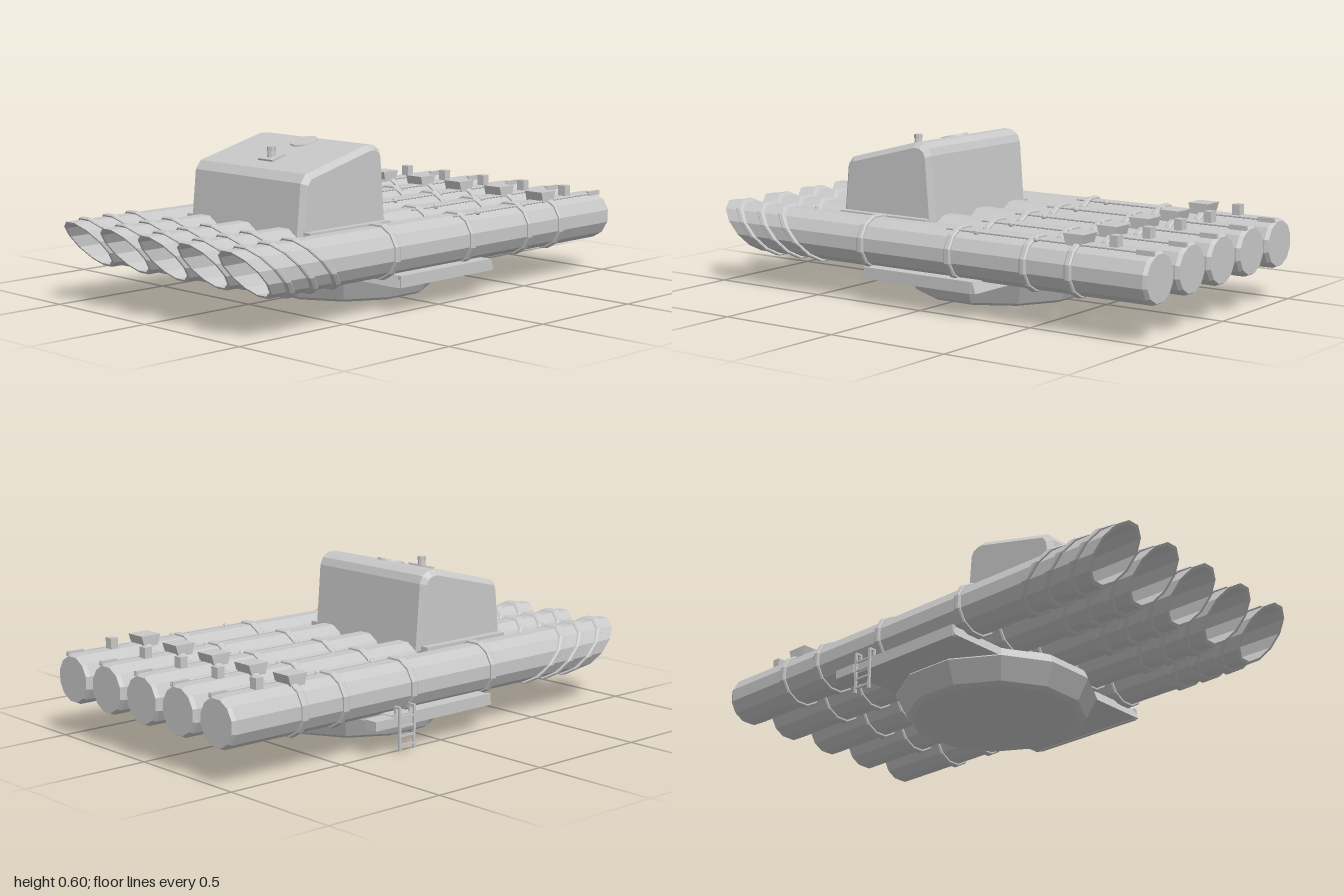
import * as THREE from 'three';

const CX = 0.008;      // centre line of tubes and cabin
const TUBE_Y = 0.226;  // height of the tube axes
const R = 0.0958;      // tube radius
const TOP = 0.0925;    // height of the flat tube top above the axis
const SLANT = 0.92;    // muzzle cut, z per unit of y

const deg = (d) => (d * Math.PI) / 180;

// Faceted shading for any geometry
function flat(geometry) {
  const g = geometry.index ? geometry.toNonIndexed() : geometry;
  g.computeVertexNormals();
  return g;
}

// Twelve-sided solid of revolution along z; points are [radius, z]
function turned(points, slantFrom = Infinity) {
  const g = new THREE.LatheGeometry(points.map(([r, z]) => new THREE.Vector2(r, z)), 12, deg(15));
  g.rotateX(Math.PI / 2);
  const p = g.attributes.position;
  for (let i = 0; i < p.count; i++) {
    if (p.getZ(i) > slantFrom) p.setZ(i, p.getZ(i) + SLANT * (p.getY(i) - TOP));
  }
  return flat(g);
}

// Ring around a tube, centred on z
function ring(z, width, slanted) {
  const h = width / 2;
  return turned(
    [[0.09, z - h], [0.102, z - h], [0.1062, z - h * 0.6], [0.1062, z + h * 0.6], [0.102, z + h], [0.09, z + h]],
    slanted ? -Infinity : Infinity,
  );
}

// Side profile of [z, y] points, extruded along x and centred
function sideProfile(points, width, bevel = 0) {
  const shape = new THREE.Shape(points.map(([z, y]) => new THREE.Vector2(-z, y)));
  const g = new THREE.ExtrudeGeometry(shape, {
    depth: width - 2 * bevel,
    bevelEnabled: bevel > 0,
    bevelThickness: bevel,
    bevelSize: bevel,
    bevelOffset: -bevel,
    bevelSegments: 1,
  });
  g.translate(0, 0, bevel - width / 2);
  g.rotateY(Math.PI / 2);
  return flat(g);
}

export function createModel() {
  const model = new THREE.Group();
  model.name = 'launcherTurret';
  const grey = new THREE.MeshStandardMaterial({ color: 0xc8c8c8 });
  grey.name = 'lightGrey';

  const add = (parent, name, geometry, x = 0, y = 0, z = 0) => {
    const mesh = new THREE.Mesh(geometry, grey);
    mesh.name = name;
    mesh.position.set(x, y, z);
    parent.add(mesh);
    return mesh;
  };
  const box = (w, h, d) => new THREE.BoxGeometry(w, h, d);

  // Launch tubes: hollow, closed at the back, cut at a slant in front
  const tube = turned(
    [[0, -1], [0.088, -1], [R, -0.985], [R, 1], [0.086, 1], [0.086, -0.97], [0, -0.97]], 0.9);
  const slantedRings = [0.917, 0.805, 0.695].map((z) => ring(z, 0.032, true));
  const straightRings = [0.258, -0.155, -0.49, -0.682].map((z) => ring(z, 0.028, false));
  const rod = flat(new THREE.CylinderGeometry(0.004, 0.004, 0.89, 6).rotateX(Math.PI / 2));
  const joint = flat(new THREE.SphereGeometry(0.011, 8, 6));
  const housing = sideProfile(
    [[-0.637, 0.085], [-0.625, 0.127], [-0.713, 0.127], [-0.7, 0.085]], 0.084);

  for (let i = -2; i <= 2; i++) {
    const unit = new THREE.Group();
    unit.name = 'launchTube';
    unit.position.set(CX + i * 0.215, TUBE_Y, 0);
    model.add(unit);
    add(unit, 'barrel', tube);
    slantedRings.forEach((g) => add(unit, 'slantedBand', g));
    straightRings.forEach((g) => add(unit, 'band', g));
    // Fittings along the top of the tube
    add(unit, 'cableRod', rod, 0.038, 0.091, -0.555);
    for (const z of [-0.245, -0.51]) add(unit, 'rodJoint', joint, 0.038, 0.091, z);
    add(unit, 'rodEnd', box(0.014, 0.018, 0.07), 0.036, 0.091, -0.962);
    add(unit, 'housing', housing);
    add(unit, 'lug', box(0.035, 0.05, 0.032), 0, 0.109, -0.82);
  }

  // Cabin with a sloping roof and chamfered sides
  add(model, 'cabin', sideProfile(
    [[0.534, 0.28], [0.513, 0.485], [0.488, 0.517], [0.175, 0.596],
      [0.142, 0.594], [0.113, 0.577], [0.1, 0.548], [0.079, 0.28]], 0.612, 0.02), CX);
  add(model, 'cabinFlange', box(0.674, 0.03, 0.42), CX, 0.295, 0.305);

  // Roof hatch and sight
  const roof = new THREE.Group();
  roof.name = 'roofFittings';
  roof.position.set(CX, 0.555, 0.33);
  roof.rotation.x = Math.atan2(0.076, 0.3);
  model.add(roof);
  add(roof, 'hatch', flat(new THREE.CylinderGeometry(0.052, 0.058, 0.02, 16)), -0.004, -0.002, -0.12);
  add(roof, 'sightBase', box(0.078, 0.014, 0.07), 0.004, 0.002, 0.06);
  const sight = add(model, 'sight',
    flat(new THREE.CylinderGeometry(0.012, 0.018, 0.05, 8)), CX + 0.003, 0.56, 0.39);
  add(sight, 'sightCap', flat(new THREE.CylinderGeometry(0.017, 0.017, 0.016, 8)), 0, 0.016, 0);

  // Twelve-sided turntable under the tubes
  const profile = [[0, 0], [0.325, 0], [0.345, 0.012], [0.388, 0.095], [0.372, 0.13], [0.31, 0.162], [0, 0.162]];
  add(model, 'turntable', flat(new THREE.LatheGeometry(
    profile.map(([r, y]) => new THREE.Vector2(r, y)), 12, deg(15))), -0.012, 0, -0.013);

  // Wide platform with end lips
  add(model, 'platform', sideProfile(
    [[0.25, 0.1], [0.235, 0.142], [-0.265, 0.142], [-0.28, 0.1]], 1.05), 0.005);
  for (const x of [-0.515, 0.526]) add(model, 'platformLip', box(0.016, 0.045, 0.5), x, 0.121, -0.01);
  add(model, 'step', box(0.06, 0.035, 0.095), -0.503, 0.12, -0.312);

  // Ladder on the right end of the platform
  const ladder = new THREE.Group();
  ladder.name = 'ladder';
  ladder.position.set(-0.536, 0, -0.21);
  model.add(ladder);
  for (const z of [-0.036, 0.036]) {
    add(ladder, 'ladderRail', box(0.008, 0.165, 0.01), 0, 0.0925, z);
    add(ladder, 'ladderHook', box(0.03, 0.008, 0.01), 0.011, 0.171, z);
    add(ladder, 'ladderHookEnd', box(0.008, 0.035, 0.01), 0.022, 0.155, z);
  }
  for (let i = 0; i < 4; i++) add(ladder, 'ladderRung', box(0.007, 0.008, 0.072), 0, 0.03 + i * 0.035, 0);

  return model;
}
